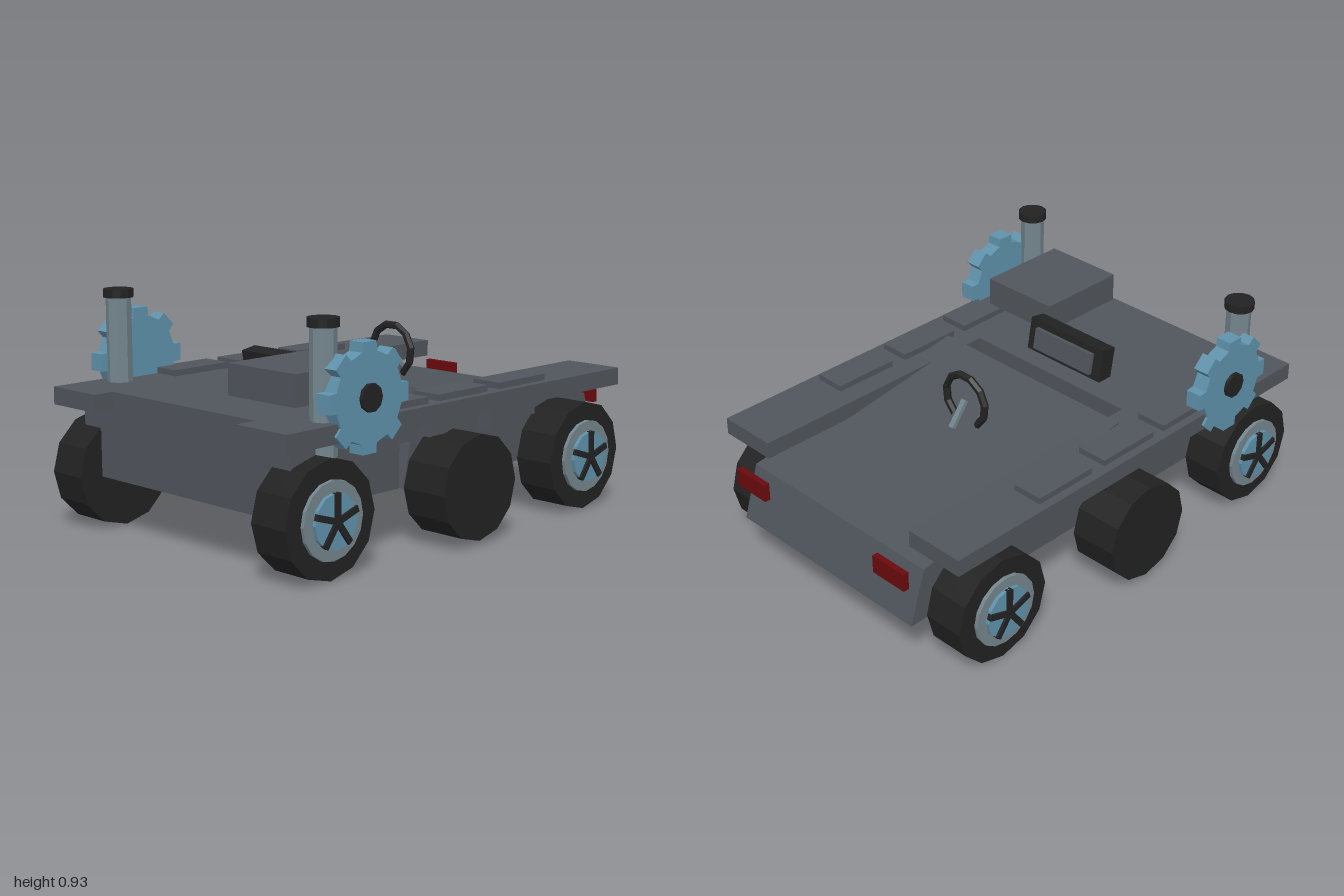
import * as THREE from 'three';

const mat = (name, color) => {
  const m = new THREE.MeshStandardMaterial({ color });
  m.name = name;
  m.flatShading = true;
  return m;
};

export function createModel() {
  const root = new THREE.Group();
  root.name = 'sixWheelRover';
  const grey = mat('hullGrey', 0x50555c);
  const black = mat('rubberBlack', 0x222222);
  const blue = mat('gearBlue', 0x5f92ab);
  const steel = mat('steel', 0x74858d);
  const red = mat('lampRed', 0x6a0a0c);

  const add = (name, geo, material, x = 0, y = 0, z = 0, parent = root) => {
    const m = new THREE.Mesh(geo, material);
    m.name = name;
    m.position.set(x, y, z);
    parent.add(m);
    return m;
  };
  // Box given by its limits on each axis
  const span = (name, material, x0, x1, y0, y1, z0, z1, parent = root) =>
    add(name, new THREE.BoxGeometry(x1 - x0, y1 - y0, z1 - z0), material,
      (x0 + x1) / 2, (y0 + y1) / 2, (z0 + z1) / 2, parent);
  // Side profile in [z, y] points, extruded across x
  const sideExtrude = (pts, x0, x1) => {
    const shape = new THREE.Shape(pts.map(([z, y]) => new THREE.Vector2(-z, y)));
    const g = new THREE.ExtrudeGeometry(shape, { depth: x1 - x0, bevelEnabled: false });
    return g.rotateY(Math.PI / 2).translate(x0, 0, 0);
  };
  // Cylinder lying along x
  const axle = (r, w, n) => new THREE.CylinderGeometry(r, r, w, n).rotateZ(-Math.PI / 2);

  // Front hull, with a wider upper part under the deck
  span('frontHull', grey, -0.48, 0.48, 0.215, 0.5, 0.24, 0.9);
  span('frontShoulder', grey, -0.58, 0.58, 0.395, 0.5, 0.78, 0.9);
  span('frontDeck', grey, -0.41, 0.41, 0.49, 0.56, 0.24, 0.9);

  // Rear hull with its deck sloping down to the tail
  add('rearHull', sideExtrude(
    [[0.13, 0.585], [0.22, 0.21], [-0.975, 0.21], [-0.905, 0.43]], -0.48, 0.48), grey);
  span('coupling', black, -0.2, 0.2, 0.4, 0.49, 0.14, 0.25);

  // Cargo box
  span('cargoBox', grey, 0.17, 0.52, 0.61, 0.73, 0.42, 0.82);

  // Console leaning away from the driver
  const console_ = new THREE.Group();
  console_.name = 'console';
  console_.position.set(0, 0.625, 0.37);
  console_.rotation.x = 0.17;
  root.add(console_);
  add('consoleCase', new THREE.BoxGeometry(0.4, 0.14, 0.07), black, 0, 0, 0, console_);
  add('consoleScreen', new THREE.BoxGeometry(0.31, 0.09, 0.02), grey, 0, -0.005, -0.043, console_);

  // Steering wheel open at the bottom, on a tilted column
  const ring = new THREE.TorusGeometry(0.108, 0.016, 6, 9, Math.PI * 1.6);
  add('steeringWheel', ring.rotateZ(-Math.PI * 0.3), black, 0, 0.637, -0.23);
  const column = add('steeringColumn', new THREE.BoxGeometry(0.022, 0.12, 0.018), steel, 0, 0.59, -0.27);
  column.rotation.x = 0.65;

  // Five dark spokes on a hub
  const spokes = (parent, x) => {
    for (let i = 0; i < 5; i++) {
      const g = new THREE.BoxGeometry(0.02, 0.105, 0.024).translate(0, 0.052, 0);
      const s = add('spoke', g, black, x, 0, 0, parent);
      s.rotation.x = (i * Math.PI * 2) / 5;
    }
  };

  // Toothed wheel outline
  const gearShape = new THREE.Shape();
  for (let i = 0; i < 8; i++) {
    const a = (i * Math.PI) / 4;
    [[0.17, -0.22], [0.205, -0.17], [0.205, 0.17], [0.17, 0.22]].forEach(([r, d], j) => {
      const px = r * Math.cos(a + d), py = r * Math.sin(a + d);
      if (i + j === 0) gearShape.moveTo(px, py);
      else gearShape.lineTo(px, py);
    });
  }
  gearShape.closePath();

  for (const s of [1, -1]) {
    const side = new THREE.Group();
    side.name = s > 0 ? 'leftSide' : 'rightSide';
    root.add(side);
    const lim = (a, b) => (s > 0 ? [a, b] : [-b, -a]);

    // Long side rail with hatches above and bins below
    span('sideRail', grey, ...lim(0.4, 0.655), 0.49, 0.56, -0.9, 0.99, side);
    for (const z of [0.515, 0.175, -0.175]) {
      span('hatch', grey, ...lim(0.49, 0.62), 0.56, 0.585, z - 0.28, z, side);
      span('bin', grey, ...lim(0.47, 0.58), 0.42, 0.49, z - 0.27, z, side);
      span('binBase', grey, ...lim(0.47, 0.55), 0.38, 0.42, z - 0.2, z - 0.03, side);
    }

    // Spoked wheels front and rear
    for (const z of [0.78, -0.68]) {
      const wheel = new THREE.Group();
      wheel.name = z > 0 ? 'frontWheel' : 'rearWheel';
      wheel.position.set(0, 0.224, z);
      side.add(wheel);
      add('tyre', axle(0.222, 0.17, 12), black, s * 0.57, 0, 0, wheel);
      add('rim', axle(0.147, 0.02, 16), steel, s * 0.66, 0, 0, wheel);
      add('hub', axle(0.105, 0.02, 12), blue, s * 0.675, 0, 0, wheel);
      spokes(wheel, s * 0.685);
    }
    // Plain middle wheel
    add('middleWheel', axle(0.207, 0.2, 12), black, s * 0.62, 0.226, 0.05, side);

    // Exhaust stack with cap
    add('stack', new THREE.CylinderGeometry(0.05, 0.05, 0.47, 8), steel, s * 0.57, 0.665, 0.73, side);
    add('stackCap', new THREE.CylinderGeometry(0.06, 0.06, 0.033, 12), black, s * 0.57, 0.911, 0.73, side);

    // Gear with dark boss
    const gear = new THREE.ExtrudeGeometry(gearShape, { depth: 0.065, bevelEnabled: false });
    gear.translate(0, 0, -0.0325).rotateY(Math.PI / 2);
    add('gear', gear, blue, s * 0.6325, 0.635, 0.595, side);
    add('gearBoss', axle(0.053, 0.07, 10), black, s * 0.645, 0.637, 0.595, side);

    // Tail lamp
    span('tailLamp', red, ...lim(0.31, 0.475), 0.38, 0.455, -1, -0.975, side);
  }
  return root;
}
